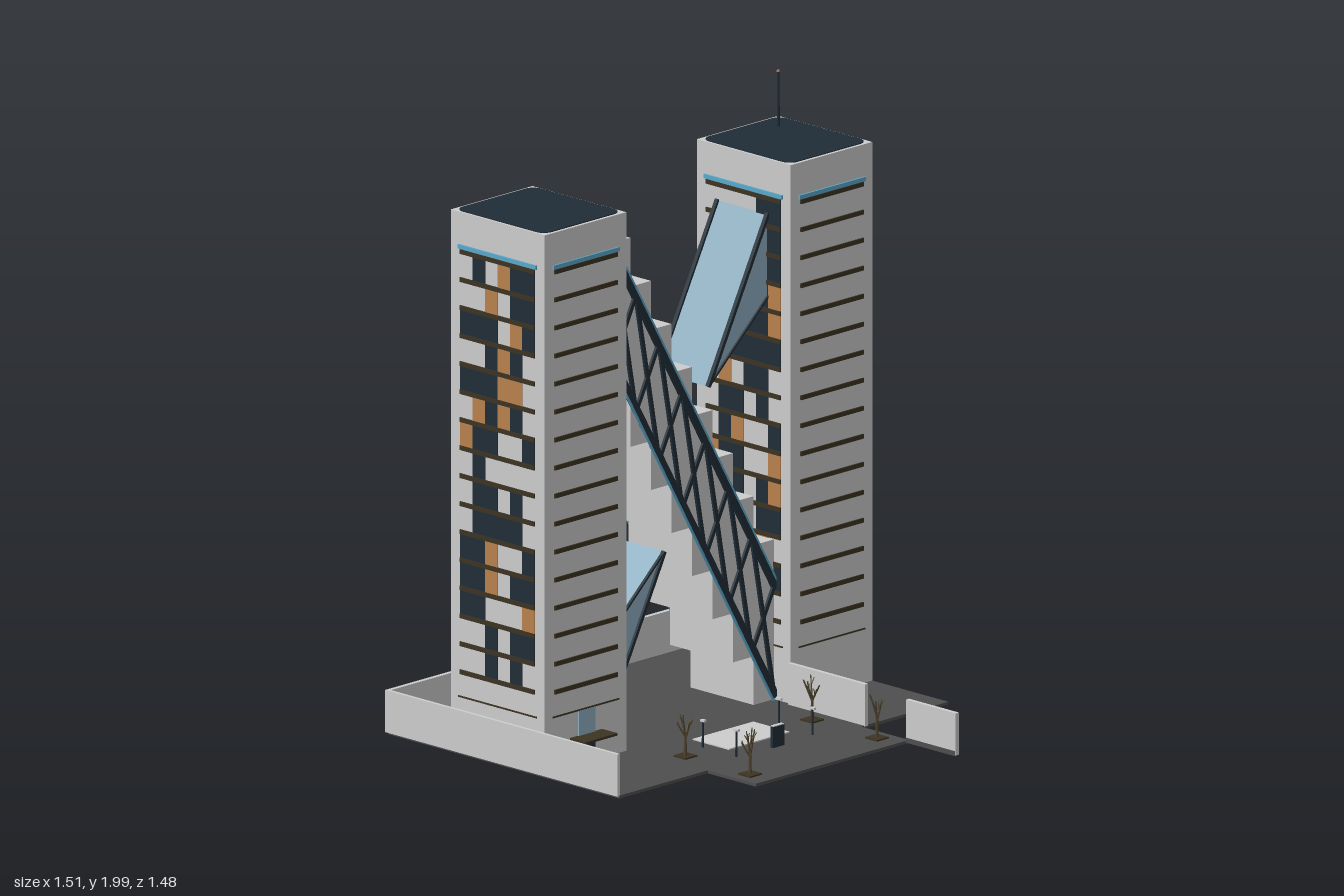
import * as THREE from 'three';

const mat = (name, color, side = THREE.FrontSide) => {
  const m = new THREE.MeshStandardMaterial({ color, side });
  m.name = name;
  return m;
};

export function createModel() {
  const root = new THREE.Group();
  root.name = 'twinTowers';
  const M = {
    wall: mat('pale concrete', 0xcdcdcd),
    ground: mat('dark paving', 0x4e4e4e),
    navy: mat('dark steel', 0x202d37),
    glass: mat('blue glass', 0x8fb0c2, THREE.DoubleSide),
    blue: mat('blue trim', 0x5aa9cc),
    louvre: mat('bronze louvre', 0x3c3322),
    orange: mat('lit window', 0xb9814d),
    bark: mat('bark', 0x50462f),
  };
  let seed = 7;
  const rnd = () => (seed = (seed * 16807) % 2147483647) / 2147483647;

  const add = (parent, name, geo, m) => {
    const mesh = new THREE.Mesh(geo, m);
    mesh.name = name;
    parent.add(mesh);
    return mesh;
  };
  // box given by its extents
  const box = (parent, name, m, x0, x1, y0, y1, z0, z1) => {
    const b = add(parent, name, new THREE.BoxGeometry(x1 - x0, y1 - y0, z1 - z0), m);
    b.position.set((x0 + x1) / 2, (y0 + y1) / 2, (z0 + z1) / 2);
    return b;
  };
  // square bar between two points in a plane of constant z
  const bar = (parent, name, m, x0, y0, x1, y1, z, w, d) => {
    const dx = x1 - x0, dy = y1 - y0;
    const b = add(parent, name, new THREE.BoxGeometry(Math.hypot(dx, dy), w, d), m);
    b.position.set((x0 + x1) / 2, (y0 + y1) / 2, z);
    b.rotation.z = Math.atan2(dy, dx);
    return b;
  };
  const rod = (parent, name, m, a, b, r0, r1, n = 6) => {
    const d = b.clone().sub(a);
    const c = add(parent, name, new THREE.CylinderGeometry(r1, r0, d.length(), n), m);
    c.position.copy(a).addScaledVector(d, 0.5);
    c.quaternion.setFromUnitVectors(new THREE.Vector3(0, 1, 0), d.normalize());
  };

  // ground slabs and boundary walls
  const site = new THREE.Group();
  site.name = 'site';
  root.add(site);
  box(site, 'mainSlab', M.ground, -0.75, 0.74, 0.012, 0.022, -0.735, 0.3);
  box(site, 'plazaSlab', M.ground, -0.35, 0.345, 0.012, 0.022, 0.3, 0.515);
  box(site, 'backWall', M.wall, -0.76, 0.755, 0.02, 0.16, -0.74, -0.725);
  box(site, 'sideWall', M.wall, -0.76, -0.748, 0.02, 0.16, -0.725, 0.3);
  box(site, 'sideWall', M.wall, 0.74, 0.755, 0.02, 0.16, -0.725, -0.46);
  box(site, 'plotWall', M.wall, 0.358, 0.372, 0.02, 0.16, -0.04, 0.305);
  box(site, 'gardenWall', M.wall, 0.328, 0.343, 0.02, 0.16, 0.517, 0.74);
  box(site, 'wallFooting', M.ground, 0.326, 0.345, 0.018, 0.034, 0.517, 0.738);

  // towers: W wide, D deep, built around their own axis
  const W = 0.37, D = 0.42, Y0 = 0.02, Y1 = 1.81, floor = 0.093;
  const tower = (cx) => {
    const t = new THREE.Group();
    t.name = 'tower';
    t.position.set(cx, 0, -0.25);
    root.add(t);
    box(t, 'shaft', M.wall, -W / 2, W / 2, Y0, Y1, -D / 2, D / 2);

    // rounded roof deck
    const rw = 0.177, rd = 0.199, r = 0.035;
    const s = new THREE.Shape();
    s.absarc(rw - r, rd - r, r, 0, Math.PI / 2);
    s.absarc(-rw + r, rd - r, r, Math.PI / 2, Math.PI);
    s.absarc(-rw + r, -rd + r, r, Math.PI, Math.PI * 1.5);
    s.absarc(rw - r, -rd + r, r, Math.PI * 1.5, Math.PI * 2);
    const roof = add(t, 'roofDeck', new THREE.ExtrudeGeometry(s, { depth: 0.003, bevelEnabled: false, curveSegments: 6 }), M.navy);
    roof.rotation.x = -Math.PI / 2;
    roof.position.y = Y1;

    // four facades with louvres and a blue top band
    for (let k = 0; k < 4; k++) {
      const f = new THREE.Group();
      f.name = 'facade';
      f.rotation.y = k * Math.PI / 2;
      t.add(f);
      const wide = k % 2 ? D : W, z = (k % 2 ? W : D) / 2, h = wide / 2 - 0.043;
      for (let i = 0; i < 16; i++) {
        const y = 0.285 + i * floor;
        box(f, 'louvre', M.louvre, -h, h, y - 0.0075, y + 0.0075, z - 0.002, z + 0.005);
      }
      box(f, 'baseLine', M.louvre, -h - 0.008, h + 0.008, 0.2, 0.205, z - 0.002, z + 0.003);
      box(f, 'topBand', M.blue, -h - 0.008, h + 0.008, 1.689, 1.703, z - 0.002, z + 0.006);

      // scattered window panels on the rear and outer-right facades
      if (k < 2) continue;
      const cols = 6, cw = 2 * h / cols;
      for (let c = 0; c < cols; c++) {
        const density = k === 3 ? [0.3, 0.75, 0.75, 0.35, 0.75, 0.6][c] : [0.6, 0.5, 0.3, 0.5, 0.4, 0.2][c];
        for (let i = 0; i < 15; i++) {
          if (rnd() > density) continue;
          const y = 0.2925 + i * floor;
          box(f, 'window', rnd() < 0.2 ? M.orange : M.navy,
            -h + c * cw, -h + (c + 1) * cw, y, y + floor - 0.015, z - 0.001, z + 0.002);
        }
      }
    }
    return t;
  };
  tower(-0.56);
  const east = tower(0.555);
  rod(east, 'antenna', M.navy, new THREE.Vector3(0.093, Y1, -0.12), new THREE.Vector3(0.093, 1.994, -0.12), 0.005, 0.004, 8);
  box(east, 'beacon', M.orange, 0.089, 0.097, 1.994, 2, -0.124, -0.116);
  box(east, 'sideStep', M.ground, W / 2 - 0.002, W / 2 + 0.004, 0.02, 0.045, -0.15, 0.15);

  // stepped diagonal bridge
  const bridge = new THREE.Group();
  bridge.name = 'bridge';
  root.add(bridge);
  const step = 0.0931;
  for (let i = 0; i < 8; i++) {
    const x = -0.374 + i * step, top = 1.69 - i * 0.1625;
    box(bridge, 'bridgeBlock', M.wall, x, x + step, Math.max(0.022, top - 0.532), top, -0.398, -0.115);
  }
  // lattice trusses either side
  const U = (x) => 1.675 - 1.73 * (x + 0.37), L = (x) => U(x) - 0.37;
  for (const [z, out] of [[-0.403, -1], [-0.109, 1]]) {
    for (const F of [U, L]) {
      bar(bridge, 'chord', M.navy, -0.37, F(-0.37), 0.37, F(0.37) + (F === L ? 0.01 : 0), z, 0.024, 0.014);
      const o = F === U ? 0.011 : -0.011;
      bar(bridge, 'chordTrim', M.blue, -0.37 + o, F(-0.37) + o * 0.6, 0.365 + o * 0.4, F(0.365 + o * 0.4 - o) + o * 0.6, z + out * 0.005, 0.006, 0.007);
    }
    for (let i = 0; i < 7; i++) {
      const x = -0.365 + i * 0.105, x2 = Math.min(x + 0.1, 0.368);
      bar(bridge, 'steepBrace', M.navy, x, U(x), x2, L(x2), z, 0.014, 0.009);
      bar(bridge, 'crossBrace', M.navy, x, L(x), x2, U(x2), z, 0.014, 0.009);
    }
  }

  // two glazed wedges, each the half-turn of the other
  const wedge = (name) => {
    const g = new THREE.Group();
    g.name = name;
    root.add(g);
    const s = new THREE.Shape([[0.1, 1.11], [0.372, 1.355], [0.372, 1.63]].map((p) => new THREE.Vector2(...p)));
    const body = add(g, 'wedgeGlass', new THREE.ExtrudeGeometry(s, { depth: 0.22, bevelEnabled: false }), M.glass);
    body.position.z = -0.365;
    for (const z of [-0.367, -0.143]) {
      bar(g, 'wedgeFrame', M.navy, 0.1, 1.11, 0.37, 1.63, z, 0.012, 0.014);
      bar(g, 'wedgeFrame', M.navy, 0.1, 1.11, 0.37, 1.355, z, 0.007, 0.01);
    }
    return g;
  };
  wedge('upperWedge');
  const low = wedge('lowerWedge');
  low.rotation.z = Math.PI;
  low.position.y = 1.715;

  // entrance
  const door = new THREE.Group();
  door.name = 'entrance';
  root.add(door);
  box(door, 'canopy', M.louvre, -0.63, -0.485, 0.11, 0.118, -0.04, 0.03);
  box(door, 'transom', M.glass, -0.595, -0.52, 0.118, 0.2, -0.042, -0.035);
  box(door, 'doorLeaf', M.navy, -0.575, -0.52, 0.022, 0.1, -0.042, -0.035);
  box(door, 'doorSide', M.orange, -0.597, -0.575, 0.07, 0.1, -0.042, -0.035);

  // plaza furniture
  const plaza = new THREE.Group();
  plaza.name = 'plaza';
  root.add(plaza);
  box(plaza, 'paleCourt', M.wall, -0.14, 0.135, 0.02, 0.026, 0.025, 0.187);
  box(plaza, 'signBoard', M.navy, -0.027, 0.025, 0.022, 0.092, 0.262, 0.272);
  box(plaza, 'signCap', M.wall, -0.024, 0.022, 0.092, 0.095, 0.26, 0.274);
  for (const x of [-0.175, 0.17]) for (const z of [0.105, 0.255]) {
    rod(plaza, 'lampPost', M.navy, new THREE.Vector3(x, 0.02, z), new THREE.Vector3(x, 0.107, z), 0.004, 0.003);
    box(plaza, 'lampHead', M.wall, x - 0.005, x + 0.005, 0.107, 0.114, z - 0.007, z + 0.011);
  }
  // bare trees in square planters
  for (const x of [-0.29, 0.285]) for (const z of [0.14, 0.43]) {
    box(plaza, 'planter', M.louvre, x - 0.027, x + 0.027, 0.02, 0.027, z - 0.027, z + 0.027);
    const fork = new THREE.Vector3(x, 0.095, z);
    rod(plaza, 'trunk', M.bark, new THREE.Vector3(x, 0.02, z), fork, 0.006, 0.004);
    for (let i = 0; i < 6; i++) {
      const a = i * 1.05 + rnd(), r = 0.014 + rnd() * 0.016;
      const start = fork.clone().setY(0.075 + rnd() * 0.02);
      const end = new THREE.Vector3(x + Math.cos(a) * r, 0.13 + rnd() * 0.045, z + Math.sin(a) * r);
      rod(plaza, 'branch', M.bark, start, end, 0.0035, 0.0018, 5);
      const mid = start.clone().lerp(end, 0.6);
      rod(plaza, 'twig', M.bark, mid, mid.clone().add(new THREE.Vector3(Math.cos(a + 1) * 0.013, 0.022, Math.sin(a + 1) * 0.013)), 0.002, 0.0015, 5);
    }
  }
  return root;
}
